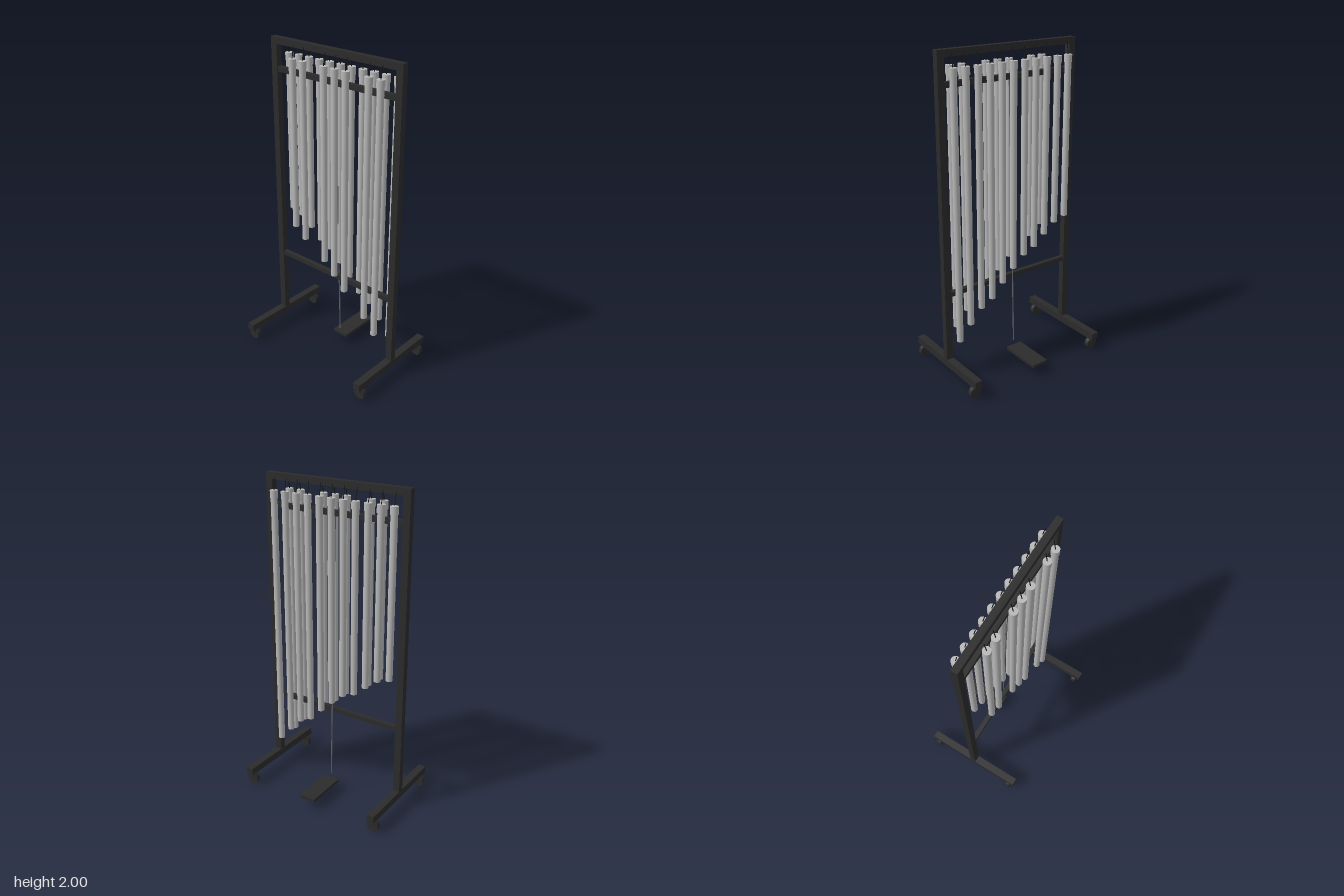
import * as THREE from 'three';

export function createModel() {
  const model = new THREE.Group();
  const mat = (name, color) => new THREE.MeshStandardMaterial({ name, color });
  const black = mat('frame black', 0x2b2b2b);
  const steel = mat('bell steel', 0xb8b8b8);
  const grey = mat('rod grey', 0x66666c);
  const cordMat = mat('cord black', 0x151515);

  const add = (name, geometry, material, x, y, z, parent = model) => {
    const mesh = new THREE.Mesh(geometry, material);
    mesh.name = name;
    mesh.position.set(x, y, z);
    parent.add(mesh);
    return mesh;
  };
  const box = (name, w, h, d, x, y, z) =>
    add(name, new THREE.BoxGeometry(w, h, d), black, x, y, z);
  // Thin round bar between two points
  const bar = (name, a, b, radius, material, parent) => {
    const path = new THREE.LineCurve3(new THREE.Vector3(...a), new THREE.Vector3(...b));
    return add(name, new THREE.TubeGeometry(path, 1, radius, 8), material, 0, 0, 0, parent);
  };

  // Frame
  box('topBeam', 0.968, 0.04, 0.04, 0, 1.98, 0);
  box('upperRail', 0.88, 0.032, 0.03, 0, 1.81, 0);
  box('lowerRail', 0.88, 0.028, 0.03, 0, 0.555, 0);
  for (const side of [-1, 1]) {
    const x = side * 0.462;
    box('post', 0.044, 1.86, 0.04, x, 1.05, 0);
    box('foot', 0.048, 0.046, 0.66, x, 0.103, 0);
    // Casters, rolling sideways
    for (const end of [-1, 1]) {
      const z = end * 0.288;
      box('casterFork', 0.03, 0.036, 0.036, x, 0.064, z);
      const wheel = add('casterWheel', new THREE.CylinderGeometry(0.038, 0.038, 0.028, 24), black, x, 0.038, z);
      wheel.rotation.x = Math.PI / 2;
    }
  }

  // Bells: grid step along x, row (-1 back, 1 front), bottom height
  const step = 0.0405, top = 1.905;
  const bells = [
    [-10, -1, 0.885], [-8, -1, 0.858], [-7, 1, 0.826], [-6, -1, 0.795], [-5, 1, 0.762], [-4, -1, 0.73],
    [-2, -1, 0.695], [-1, 1, 0.661], [0, -1, 0.625], [1, 1, 0.588], [2, -1, 0.548], [3, 1, 0.507],
    [4, -1, 0.465], [6, -1, 0.424], [7, 1, 0.38], [8, -1, 0.338], [9, 1, 0.292], [10, -1, 0.247],
  ];
  for (const [i, row, bottom] of bells) {
    const bell = new THREE.Group();
    bell.name = 'bell';
    bell.position.set(i * step, 0, row * 0.05);
    model.add(bell);
    const length = top - 0.02 - bottom;
    add('bellTube', new THREE.CylinderGeometry(0.0205, 0.0205, length, 24), steel, 0, bottom + length / 2, 0, bell);
    add('bellCap', new THREE.CylinderGeometry(0.024, 0.024, 0.045, 24), steel, 0, top - 0.0225, 0, bell);
    bar('bellCord', [0, top - 0.005, 0], [0, 1.978, -row * 0.014], 0.0025, cordMat, bell);
  }

  // Damper pedal and its pull rod
  box('damperPedal', 0.11, 0.02, 0.275, 0, 0.07, -0.1925);
  bar('damperRod', [0, 1.8, -0.008], [0, 0.11, -0.055], 0.004, grey);

  return model;
}
